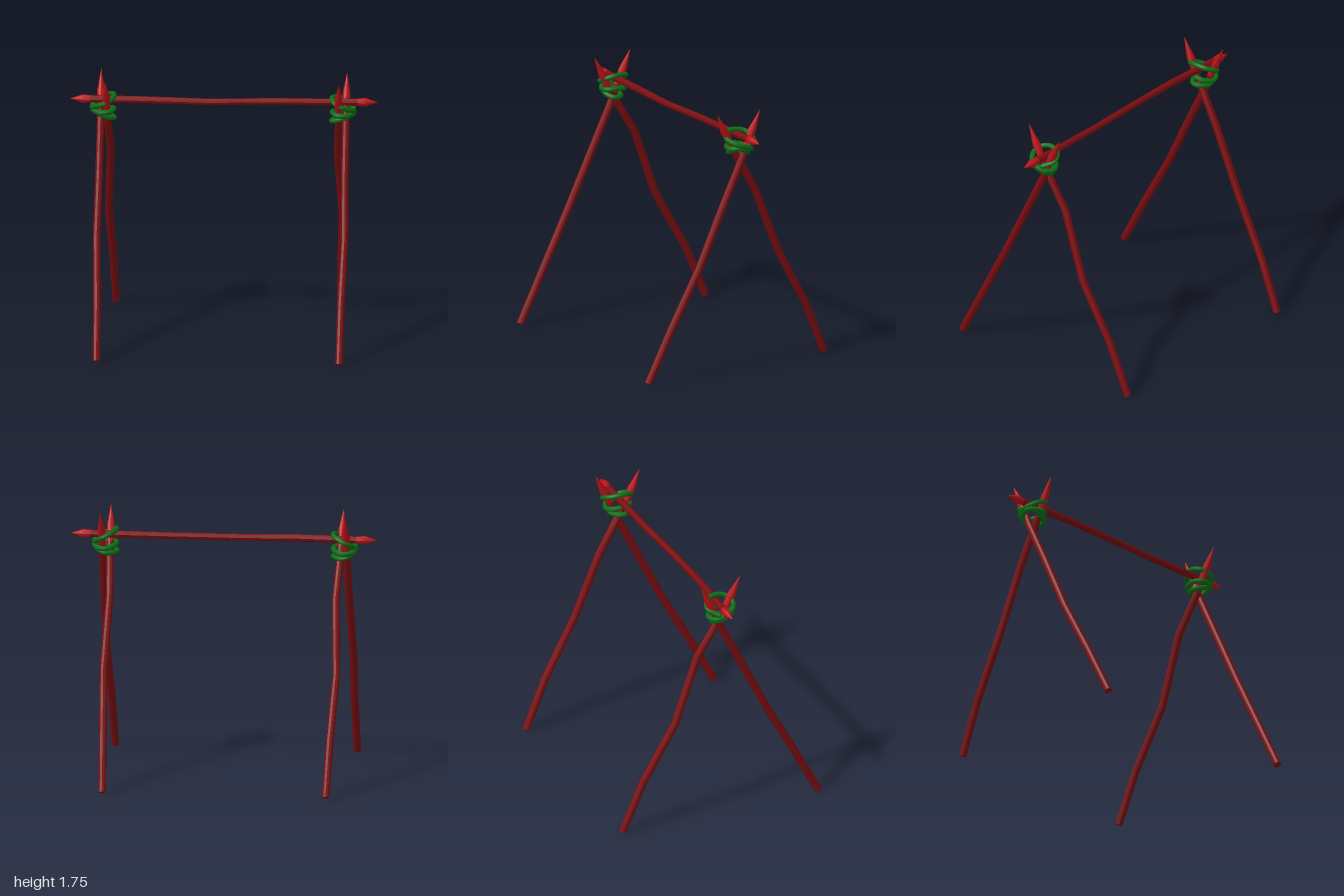
import * as THREE from 'three';
import { toCreasedNormals } from 'three/addons/utils/BufferGeometryUtils.js';

const MID_X = -0.005; // the two leg pairs mirror about this plane

// Sweeps a round section with a radius per point along a bent path
function sweep(points, radii, ref, sides = 10) {
  const pos = [], index = [];
  points.forEach((p, i) => {
    const t = points[Math.min(i + 1, points.length - 1)].clone()
      .sub(points[Math.max(i - 1, 0)]).normalize();
    const u = ref.clone().cross(t).normalize();
    const v = t.clone().cross(u);
    for (let k = 0; k < sides; k++) {
      const a = (k / sides) * Math.PI * 2;
      const q = p.clone().addScaledVector(u, radii[i] * Math.cos(a))
        .addScaledVector(v, radii[i] * Math.sin(a));
      pos.push(q.x, q.y, q.z);
      if (i < points.length - 1) {
        const a0 = i * sides + k, a1 = i * sides + (k + 1) % sides;
        index.push(a0, a1, a1 + sides, a0, a1 + sides, a0 + sides);
      }
    }
  });
  const g = new THREE.BufferGeometry();
  g.setAttribute('position', new THREE.Float32BufferAttribute(pos, 3));
  g.setIndex(index);
  return toCreasedNormals(g, 0.6);
}

// Doubles the end points with zero radius so that the ends are closed
function closedSweep(points, radii, ref) {
  return sweep([points[0], ...points, points[points.length - 1]], [0, ...radii, 0], ref);
}

export function createModel() {
  const wood = new THREE.MeshStandardMaterial({ color: 0x7a0d10 });
  wood.name = 'dark red wood';
  const cut = new THREE.MeshStandardMaterial({ color: 0xb51218 });
  cut.name = 'bright red sharpened wood';
  const vine = new THREE.MeshStandardMaterial({ color: 0x0b6c16 });
  vine.name = 'green rope';

  const model = new THREE.Group();
  model.name = 'stickFrame';
  const add = (name, geometry, material, parent) => {
    const mesh = new THREE.Mesh(geometry, material);
    mesh.name = name;
    parent.add(mesh);
  };
  const X = new THREE.Vector3(1, 0, 0), Y = new THREE.Vector3(0, 1, 0);

  // Leg paths of the left side, foot to tip; the last three form the sharpened end
  const legs = {
    frontLeg: [[0.787, 0.025, 0.69], [0.79, 0.365, 0.515], [0.803, 0.75, 0.31],
      [0.796, 1.14, 0.125], [0.795, 1.44, -0.02], [0.795, 1.53, -0.055],
      [0.795, 1.63, -0.1], [0.797, 1.757, -0.158]],
    backLeg: [[0.727, 0.02, -0.69], [0.738, 0.365, -0.545], [0.757, 0.76, -0.325],
      [0.735, 1.21, -0.155], [0.748, 1.45, -0.012], [0.75, 1.53, 0.032],
      [0.752, 1.63, 0.083], [0.757, 1.757, 0.142]],
  };

  // Rope wound around the joint of the left side
  const ropePath = [[0.845, 1.55, -0.05], [0.79, 1.585, -0.108], [0.725, 1.615, -0.075],
    [0.705, 1.625, 0], [0.725, 1.61, 0.06], [0.78, 1.585, 0.08], [0.835, 1.56, 0.045],
    [0.85, 1.54, -0.01], [0.83, 1.515, -0.07], [0.77, 1.51, -0.09], [0.715, 1.525, -0.05],
    [0.708, 1.535, 0.01], [0.735, 1.53, 0.06], [0.79, 1.525, 0.065], [0.84, 1.53, 0.02],
    [0.835, 1.505, -0.04], [0.775, 1.475, -0.065], [0.715, 1.475, -0.03],
    [0.705, 1.478, 0.02], [0.755, 1.495, 0.052], [0.82, 1.525, 0.045], [0.847, 1.55, 0.01]];

  for (const side of [1, -1]) {
    const trestle = new THREE.Group();
    trestle.name = side > 0 ? 'leftTrestle' : 'rightTrestle';
    model.add(trestle);
    const place = ([x, y, z]) =>
      new THREE.Vector3(side > 0 ? x : 2 * MID_X - x, y, z);

    for (const [name, path] of Object.entries(legs)) {
      const pts = path.map(place);
      add(name, closedSweep(pts.slice(0, 6), [0.025, 0.026, 0.026, 0.026, 0.025, 0.022], X),
        wood, trestle);
      add(name + 'Tip', closedSweep(pts.slice(5), [0.0225, 0.027, 0.001], X), cut, trestle);
    }

    const curve = new THREE.CatmullRomCurve3(ropePath.map(place));
    const rope = new THREE.Group();
    rope.name = 'rope';
    trestle.add(rope);
    add('ropeCoil', new THREE.TubeGeometry(curve, 130, 0.017, 8), vine, rope);
    for (const t of [0, 1]) {
      const end = new THREE.SphereGeometry(0.017, 8, 6);
      end.translate(...curve.getPoint(t).toArray());
      add('ropeEnd', end, vine, rope);
    }
  }

  // Crossbar with a sharpened point at each end
  const bar = [[-0.87, 1.592, -0.024], [-0.5, 1.594, -0.01], [-0.1, 1.588, -0.006],
    [0.3, 1.592, -0.024], [0.87, 1.595, -0.028]].map(p => new THREE.Vector3(...p));
  add('crossbar', closedSweep(bar, [0.024, 0.024, 0.022, 0.022, 0.024], Y), wood, model);
  for (const s of [-1, 1]) {
    const start = bar[s < 0 ? 0 : 4];
    const pts = [0.87, 0.925, 1].map(x => new THREE.Vector3(s * x, start.y, start.z));
    add('crossbarTip', closedSweep(pts, [0.0235, 0.028, 0.001], Y), cut, model);
  }
  return model;
}
